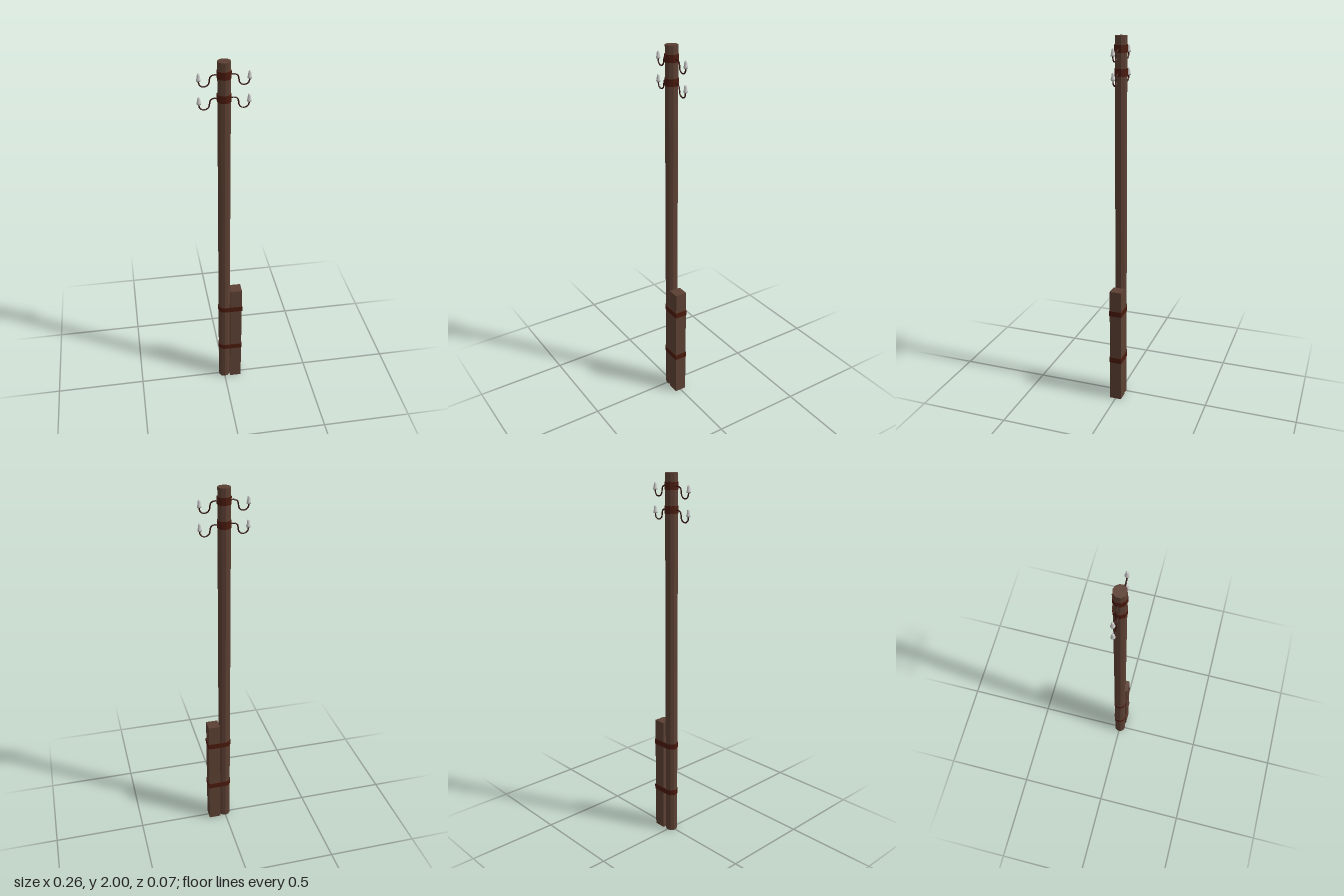
import * as THREE from 'three';

const wood = new THREE.MeshStandardMaterial({ color: 0x5c4033, flatShading: true });
const rust = new THREE.MeshStandardMaterial({ color: 0x4a1a0c, flatShading: true });
const iron = new THREE.MeshStandardMaterial({ color: 0x35130c });
const ceramic = new THREE.MeshStandardMaterial({ color: 0xcccccc, side: THREE.DoubleSide });

const SIDES = 10;
const POLE_R = 0.0325;
const BAND_R = 0.0355;

function add(parent, name, geometry, material, x = 0, y = 0, z = 0) {
  const mesh = new THREE.Mesh(geometry, material);
  mesh.name = name;
  mesh.position.set(x, y, z);
  parent.add(mesh);
  return mesh;
}

// Outline that wraps the faceted pole on one side and the square post on the other
function strapPoints(r, right) {
  const points = [new THREE.Vector2(right, -r), new THREE.Vector2(right, r)];
  for (let i = 0; i <= SIDES / 2; i++) {
    const a = Math.PI / 2 + (i * 2 * Math.PI) / SIDES;
    points.push(new THREE.Vector2(r * Math.cos(a), r * Math.sin(a)));
  }
  return points;
}

function strapGeometry(height) {
  const shape = new THREE.Shape(strapPoints(BAND_R, 0.1));
  shape.holes.push(new THREE.Path(strapPoints(POLE_R, 0.097)));
  const geometry = new THREE.ExtrudeGeometry(shape, { depth: height, bevelEnabled: false });
  return geometry.translate(0, 0, -height / 2).rotateX(-Math.PI / 2);
}

// S-shaped iron hook carrying a bell insulator, pointing along +x
function createHook() {
  const hook = new THREE.Group();
  const path = new THREE.CatmullRomCurve3([
    [0.025, 0], [0.05, 0], [0.064, -0.006], [0.069, -0.02], [0.073, -0.041],
    [0.086, -0.053], [0.106, -0.053], [0.118, -0.042], [0.121, -0.025], [0.121, -0.005],
  ].map(([x, y]) => new THREE.Vector3(x, y, 0)));
  add(hook, 'hookRod', new THREE.TubeGeometry(path, 32, 0.0035, 8), iron);

  const bell = [
    [0.003, -0.021], [0.0105, -0.025], [0.011, -0.018], [0.0085, -0.012], [0.008, -0.004],
    [0.0065, 0.003], [0.006, 0.008], [0.0035, 0.012], [0, 0.013],
  ].map(([x, y]) => new THREE.Vector2(x, y));
  add(hook, 'insulator', new THREE.LatheGeometry(bell, 16), ceramic, 0.121, 0, 0);
  return hook;
}

export function createModel() {
  const model = new THREE.Group();
  model.name = 'utilityPole';

  // Main pole and the square support post beside it
  add(model, 'pole', new THREE.CylinderGeometry(POLE_R, POLE_R, 2, SIDES), wood, 0, 1, 0);
  add(model, 'supportPost', new THREE.BoxGeometry(0.065, 0.657, 0.065), wood, 0.0645, 0.3285, 0);

  // Straps tying the post to the pole
  for (const y of [0.243, 0.528]) add(model, 'strap', strapGeometry(0.03), rust, 0, y, 0);

  // Upper bands, each with a hook on both sides
  for (const y of [1.937, 1.821]) {
    add(model, 'band', new THREE.CylinderGeometry(BAND_R, BAND_R, 0.038, SIDES), rust, 0, y, 0);
    for (const turn of [0, Math.PI]) {
      const hook = createHook();
      hook.name = turn ? 'rightHook' : 'leftHook';
      hook.position.y = y - 0.002;
      hook.rotation.y = turn;
      model.add(hook);
    }
  }
  return model;
}
